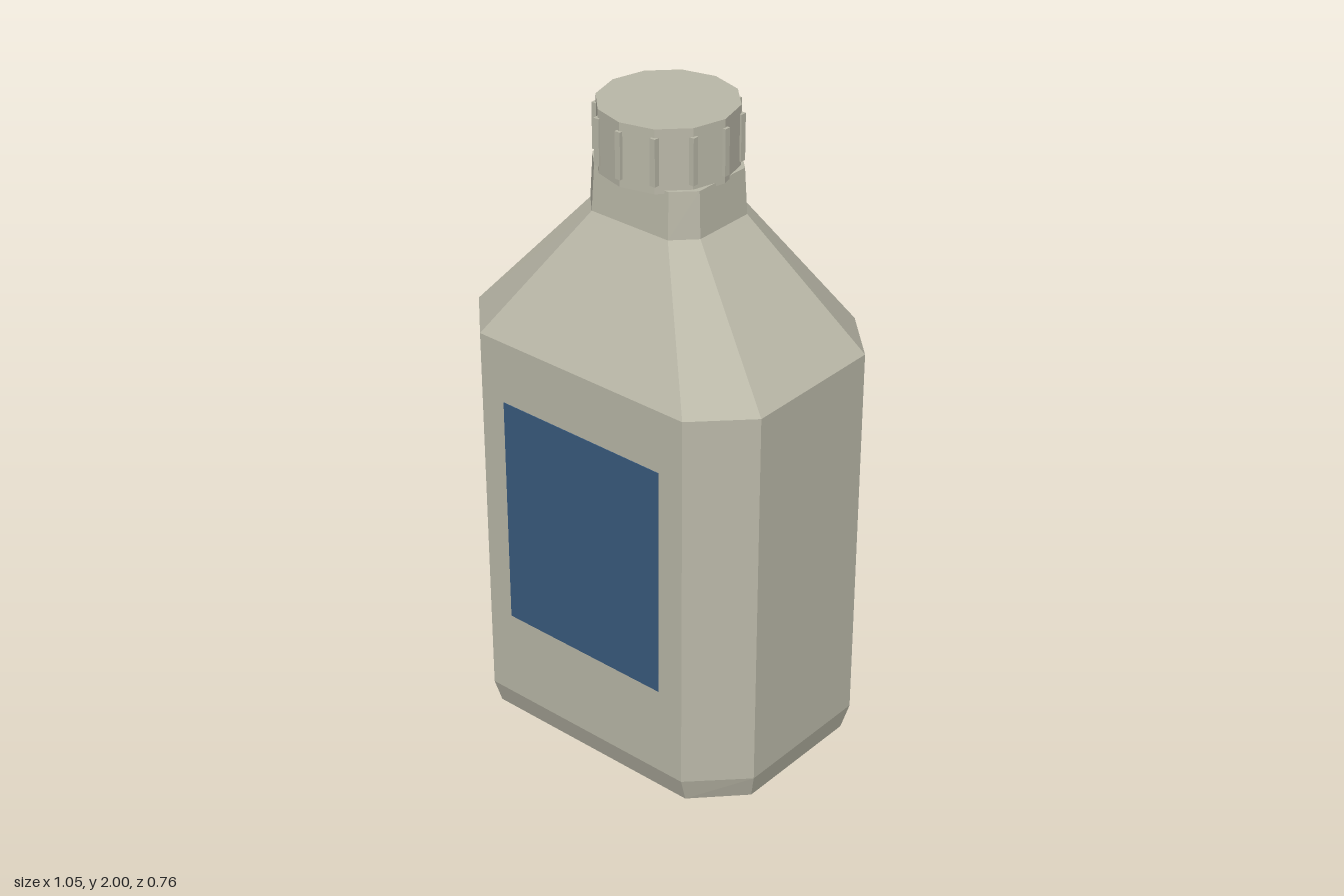
import * as THREE from 'three';

const plastic = new THREE.MeshStandardMaterial({ color: 0xbab8a8 });
plastic.name = 'stone plastic';
const blue = new THREE.MeshStandardMaterial({ color: 0x395a7e });
blue.name = 'label blue';

// Chamfered-rectangle ring: half sizes hx, hz; flat faces end at cx, cz
function ring([y, hx, hz, cx, cz]) {
  return [
    [cx, hz], [hx, cz], [hx, -cz], [cx, -hz],
    [-cx, -hz], [-hx, -cz], [-hx, cz], [-cx, hz],
  ].map(([x, z]) => new THREE.Vector3(x, y, z));
}

// Faceted shell through the rings, capped at both ends
function loft(sections) {
  const rings = sections.map(ring);
  const points = [];
  for (let r = 0; r < rings.length - 1; r++) {
    for (let i = 0; i < 8; i++) {
      const j = (i + 1) % 8;
      const [a, b, c, d] = [rings[r][i], rings[r][j], rings[r + 1][j], rings[r + 1][i]];
      points.push(a, b, c, a, c, d);
    }
  }
  const bottom = rings[0], top = rings[rings.length - 1];
  for (let i = 1; i < 7; i++) {
    points.push(bottom[0], bottom[i + 1], bottom[i]);
    points.push(top[0], top[i], top[i + 1]);
  }
  const geometry = new THREE.BufferGeometry().setFromPoints(points);
  geometry.computeVertexNormals();
  return geometry;
}

function part(name, geometry, material, x = 0, y = 0, z = 0) {
  const mesh = new THREE.Mesh(geometry, material);
  mesh.name = name;
  mesh.position.set(x, y, z);
  return mesh;
}

export function createModel() {
  const bottle = new THREE.Group();
  bottle.name = 'bottle';

  // Body with bevelled foot, sloping shoulders and neck
  bottle.add(part('body', loft([
    [0, 0.505, 0.355, 0.37, 0.215],
    [0.08, 0.525, 0.38, 0.375, 0.23],
    [1.3, 0.525, 0.38, 0.375, 0.23],
    [1.68, 0.2, 0.163, 0.138, 0.1],
    [1.82, 0.193, 0.155, 0.134, 0.096],
  ]), plastic));

  // Front label
  bottle.add(part('label', new THREE.BoxGeometry(0.58, 0.74, 0.004), blue, 0, 0.735, 0.38));

  // Twelve-sided cap with a grip rib on each corner
  const cap = new THREE.Group();
  cap.name = 'cap';
  const capShape = new THREE.CylinderGeometry(0.201, 0.201, 0.19, 12).toNonIndexed();
  capShape.computeVertexNormals();
  cap.add(part('capBody', capShape, plastic, 0, 1.905, 0));
  const rib = new THREE.BoxGeometry(0.018, 0.14, 0.018);
  for (let i = 0; i < 12; i++) {
    const a = (i * Math.PI) / 6;
    cap.add(part('capRib', rib, plastic, 0.2 * Math.sin(a), 1.905, 0.2 * Math.cos(a)));
  }
  bottle.add(cap);
  return bottle;
}
